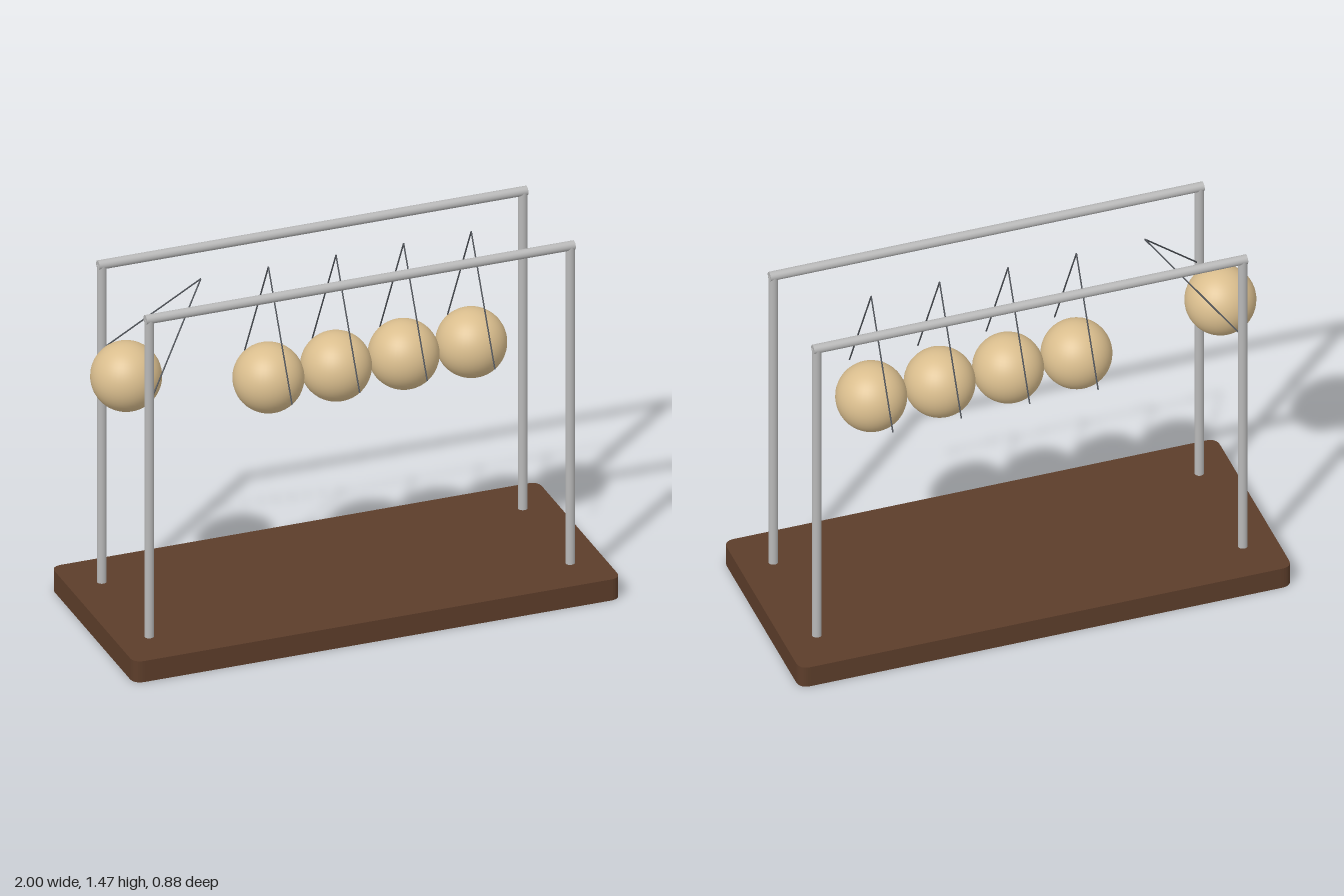
import * as THREE from 'three';

const RAIL_Y = 1.447, RAIL_Z = 0.25, ROD_R = 0.0188;
const BALL_R = 0.138, DROP = 0.473, SPACING = 0.2775;

function material(name, color, extra = {}) {
  const m = new THREE.MeshStandardMaterial({ color, ...extra });
  m.name = name;
  return m;
}

// Cylinder running between two points
function rod(name, a, b, radius, sides, mat) {
  const dir = b.clone().sub(a);
  const mesh = new THREE.Mesh(new THREE.CylinderGeometry(radius, radius, dir.length(), sides), mat);
  mesh.position.copy(a).add(b).multiplyScalar(0.5);
  mesh.quaternion.setFromUnitVectors(new THREE.Vector3(0, 1, 0), dir.normalize());
  mesh.name = name;
  return mesh;
}

// Slab with rounded vertical corners, resting on y = 0
function slab(halfX, halfZ, height, r) {
  const s = new THREE.Shape();
  s.moveTo(-halfX + r, -halfZ);
  s.lineTo(halfX - r, -halfZ);
  s.quadraticCurveTo(halfX, -halfZ, halfX, -halfZ + r);
  s.lineTo(halfX, halfZ - r);
  s.quadraticCurveTo(halfX, halfZ, halfX - r, halfZ);
  s.lineTo(-halfX + r, halfZ);
  s.quadraticCurveTo(-halfX, halfZ, -halfX, halfZ - r);
  s.lineTo(-halfX, -halfZ + r);
  s.quadraticCurveTo(-halfX, -halfZ, -halfX + r, -halfZ);
  return new THREE.ExtrudeGeometry(s, { depth: height, bevelEnabled: false, curveSegments: 8 })
    .rotateX(-Math.PI / 2);
}

export function createModel() {
  const V = (x, y, z) => new THREE.Vector3(x, y, z);
  const walnut = material('walnut', 0x5c3d2a);
  const steel = material('steel', 0xb8b8b8);
  const brass = material('pale brass', 0xdabe8e);
  const cord = material('cord', 0x50545a);

  const model = new THREE.Group();
  model.name = 'pendulumCradle';

  const base = new THREE.Mesh(slab(1, 0.44, 0.09, 0.045), walnut);
  base.name = 'base';
  model.add(base);

  // Two frames: a pair of posts and a top rail each
  for (const side of [1, -1]) {
    const frame = new THREE.Group();
    frame.name = side > 0 ? 'frontFrame' : 'backFrame';
    const z = side * RAIL_Z;
    for (const x of [-0.864, 0.864])
      frame.add(rod(x > 0 ? 'leftPost' : 'rightPost', V(x, 0.08, z), V(x, RAIL_Y, z), ROD_R, 24, steel));
    frame.add(rod('rail', V(-0.88, RAIL_Y, z), V(0.88, RAIL_Y, z), ROD_R, 24, steel));
    model.add(frame);
  }

  // Five pendulums, the outermost one swung aside
  const ballGeometry = new THREE.SphereGeometry(BALL_R, 40, 28);
  for (let i = -2; i <= 2; i++) {
    const angle = i === -2 ? 0.705 : 0;
    const pivotX = i * SPACING;
    const x = pivotX - DROP * Math.sin(angle);
    const y = RAIL_Y - DROP * Math.cos(angle);
    const pendulum = new THREE.Group();
    pendulum.name = `pendulum${i + 3}`;
    const ball = new THREE.Mesh(ballGeometry, brass);
    ball.name = 'ball';
    ball.position.set(x, y, 0);
    pendulum.add(ball);
    // Cords spread from the pivot toward the two frames
    for (const side of [1, -1])
      pendulum.add(rod(side > 0 ? 'frontCord' : 'backCord',
        V(pivotX, RAIL_Y, 0), V(x, y, side * RAIL_Z), 0.003, 8, cord));
    model.add(pendulum);
  }
  return model;
}
